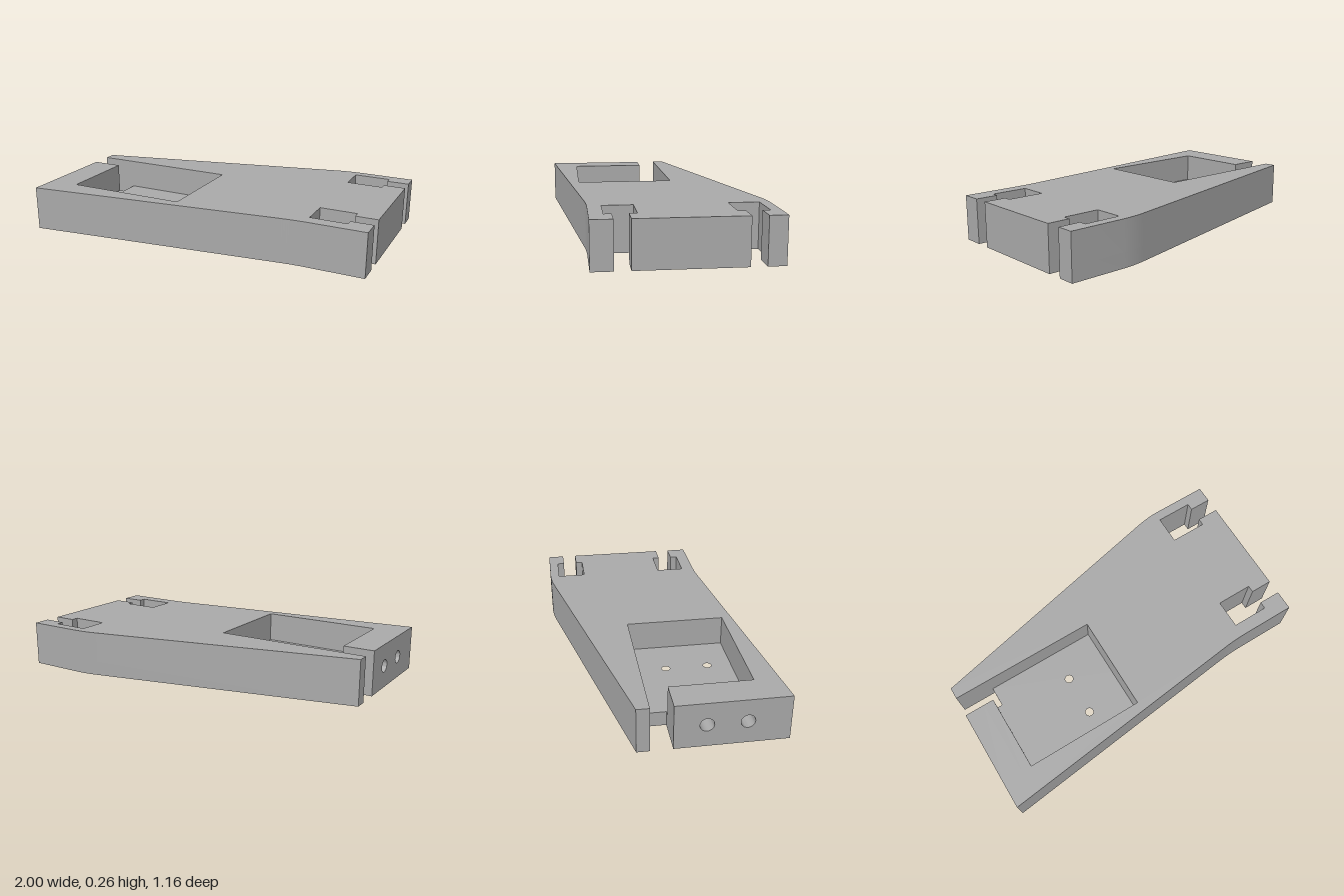
import * as THREE from 'three';
import { toCreasedNormals } from 'three/addons/utils/BufferGeometryUtils.js';

const HEIGHT = 0.26, FLOOR = 0.085;
const POCKET = { x0: -0.82, x1: -0.11, z0: -0.155, z1: 0.42 };
const SLOT = { x: -0.79, z0: -0.155, z1: -0.035 };

// Keyhole slot opening through the +x end, listed from back to front
const keySlot = (z) => [
  [1, z - 0.043], [0.87, z - 0.043], [0.87, z - 0.085], [0.655, z - 0.085],
  [0.655, z + 0.085], [0.87, z + 0.085], [0.87, z + 0.043], [1, z + 0.043],
];

// Plan outline (x, z); the -x end is completed by the given points
function planShape(endPoints) {
  const s = new THREE.Shape();
  s.moveTo(-1, 0.225);
  // slightly eased bend on the back side
  s.lineTo(0.52, 0.567);
  s.quadraticCurveTo(0.6, 0.585, 0.68, 0.585);
  const points = [[1, -0.585], ...keySlot(-0.443), ...keySlot(0.236), [1, 0.397], [0.68, 0.397]];
  points.forEach(([x, z]) => s.lineTo(x, -z));
  // slightly eased bend on the front side
  s.quadraticCurveTo(0.6, -0.397, 0.52, -0.406);
  s.lineTo(-1, -0.58);
  endPoints.forEach(([x, z]) => s.lineTo(x, -z));
  s.closePath();
  return s;
}

function addHole(shape, x, y, r) {
  const hole = new THREE.Path();
  hole.absarc(x, y, r, 0, Math.PI * 2, true);
  shape.holes.push(hole);
}

const extrude = (shape, depth) =>
  new THREE.ExtrudeGeometry(shape, { depth, bevelEnabled: false, curveSegments: 12 });

export function createModel() {
  const group = new THREE.Group();
  const grey = new THREE.MeshStandardMaterial({ color: 0xaaaaaa });
  grey.name = 'plain grey';

  const add = (name, geometry) => {
    const mesh = new THREE.Mesh(toCreasedNormals(geometry, 0.6), grey);
    mesh.name = name;
    group.add(mesh);
  };

  // Base layer: end slot and two screw holes go right through
  const base = planShape([[-1, SLOT.z1], [SLOT.x, SLOT.z1], [SLOT.x, SLOT.z0], [-1, SLOT.z0]]);
  for (const z of [0.035, 0.28]) addHole(base, -0.36, -z, 0.024);
  add('baseFloor', extrude(base, FLOOR).rotateX(-Math.PI / 2));

  // Upper layer: walls around the pocket, open at the -x end
  const walls = planShape([[-1, POCKET.z1], [POCKET.x1, POCKET.z1], [POCKET.x1, POCKET.z0], [-1, POCKET.z0]]);
  add('pocketWalls', extrude(walls, HEIGHT - FLOOR).rotateX(-Math.PI / 2).translate(0, FLOOR, 0));

  // End block closing the pocket, with two blind bores in its outer face
  const backing = 0.06;
  const block = new THREE.Shape();
  block.moveTo(SLOT.z1, FLOOR);
  block.lineTo(POCKET.z1, FLOOR);
  block.lineTo(POCKET.z1, HEIGHT);
  block.lineTo(SLOT.z1, HEIGHT);
  block.closePath();
  const backingShape = block.clone();
  for (const z of [0.137, 0.35]) addHole(block, z, 0.13, 0.038);
  add('drilledEndBlock', extrude(block, 1 + POCKET.x0 - backing)
    .rotateY(-Math.PI / 2).translate(POCKET.x0 - backing, 0, 0));
  add('endBlockBacking', extrude(backingShape, backing)
    .rotateY(-Math.PI / 2).translate(POCKET.x0, 0, 0));

  return group;
}
